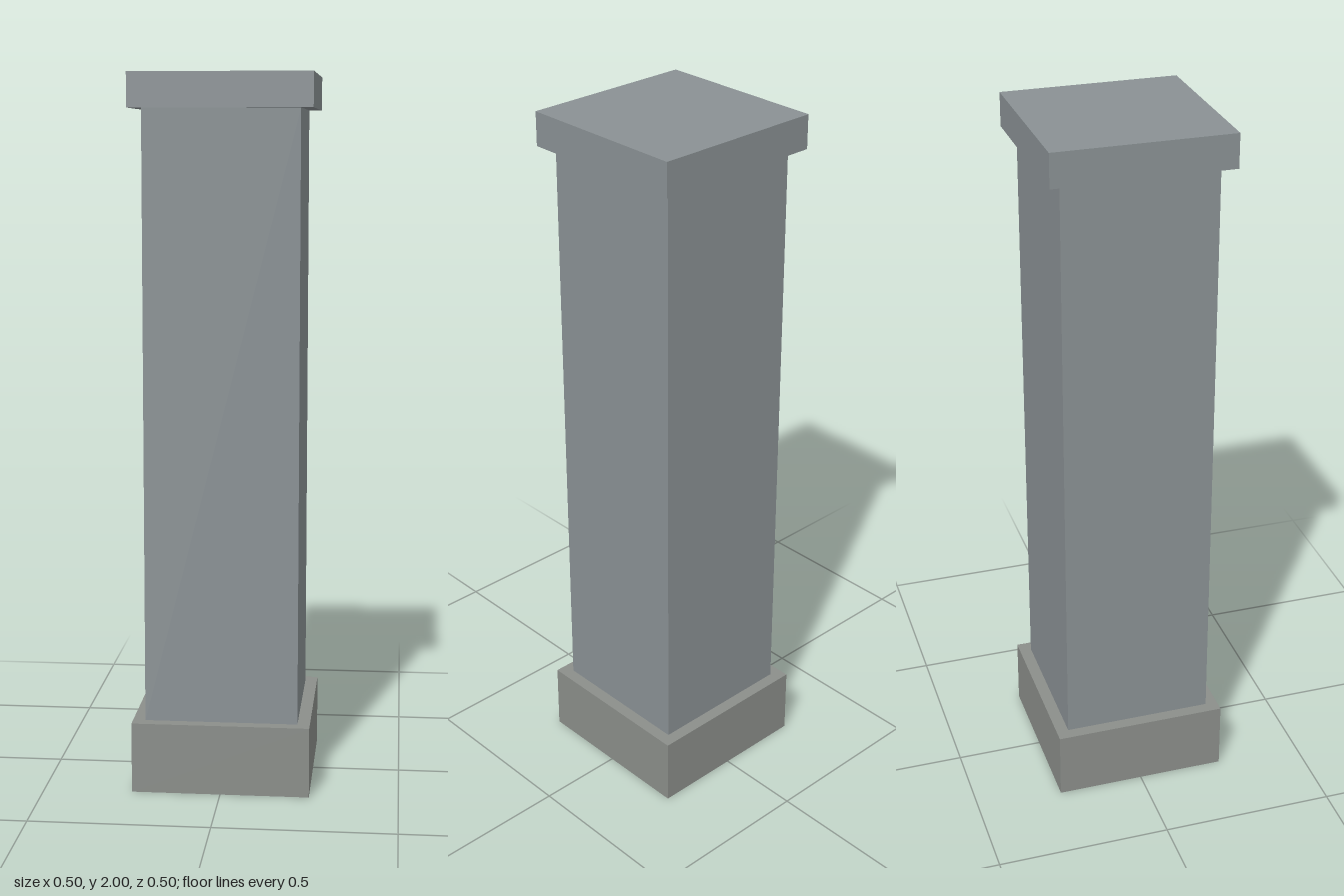
import * as THREE from 'three';

const upperStone = new THREE.MeshStandardMaterial({ color: 0x8a9194 });
const baseStone = new THREE.MeshStandardMaterial({ color: 0x8b8e8a });

// Square block spanning the heights y0 to y1
function block(name, width, y0, y1, material) {
  const mesh = new THREE.Mesh(new THREE.BoxGeometry(width, y1 - y0, width), material);
  mesh.name = name;
  mesh.position.y = (y0 + y1) / 2;
  return mesh;
}

export function createModel() {
  const pillar = new THREE.Group();
  pillar.name = 'squarePillar';
  pillar.add(
    block('base', 0.5, 0, 0.2, baseStone),
    block('shaft', 0.43, 0.2, 1.905, upperStone),
    block('cap', 0.5, 1.905, 2, upperStone)
  );
  return pillar;
}
